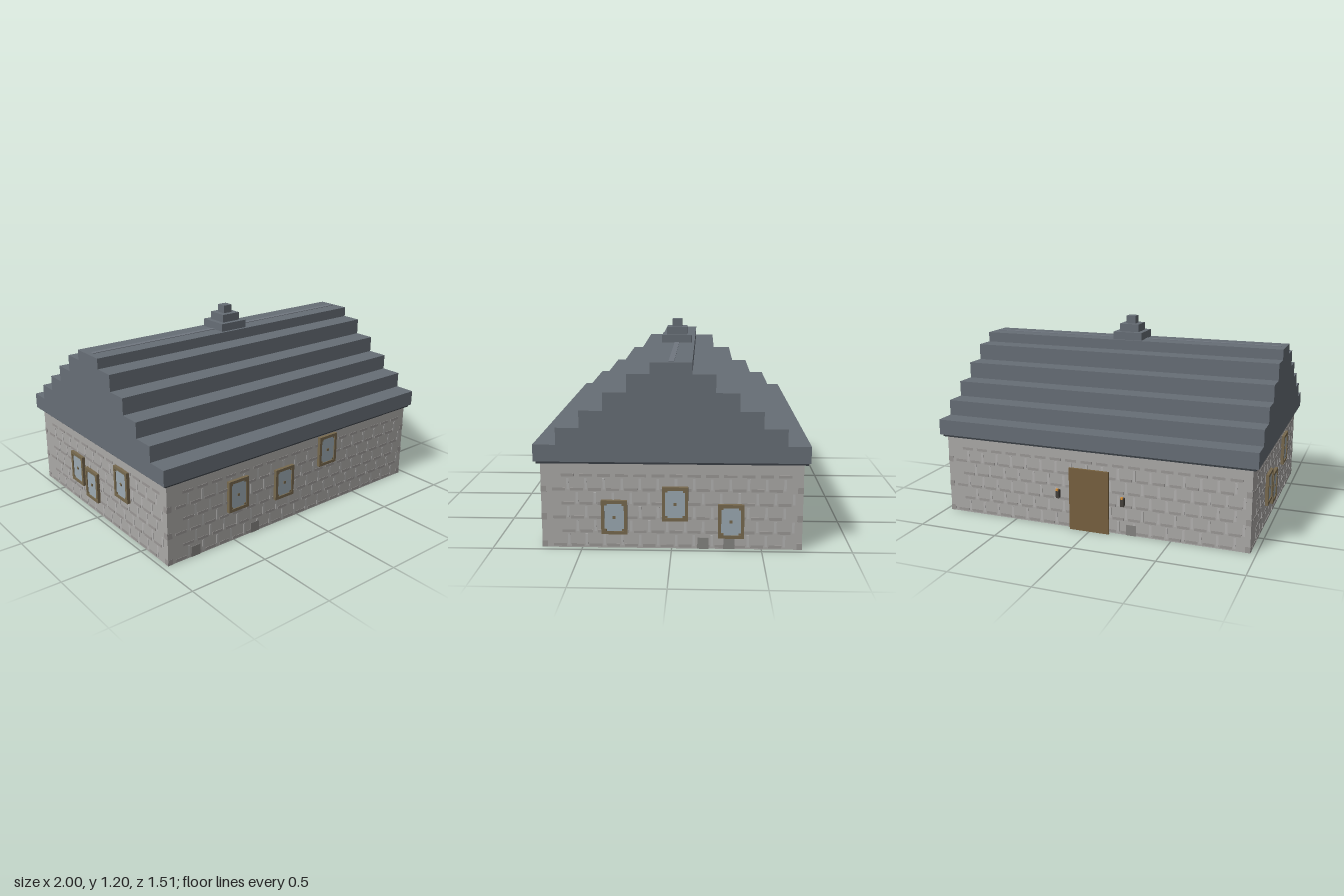
import * as THREE from 'three';
import { mergeGeometries } from 'three/addons/utils/BufferGeometryUtils.js';

const mat = (color) => new THREE.MeshStandardMaterial({ color });
const M = {
  wall: mat(0xaba9a7), course: mat(0x9a9795), joint: mat(0xb3b2b1), moss: mat(0x858481),
  roof: mat(0x676e76), ridge: mat(0x707780), eave: mat(0x3a3f45),
  frame: mat(0x77694e), glass: mat(0x9caab2), door: mat(0x77613f),
  iron: mat(0x45413c), flame: mat(0xe0963a),
};
const W = 0.965, D = 0.725, H = 0.505; // wall half width, half depth, height

// box geometry given by centre and size
const boxGeo = (x, y, z, w, h, d) => new THREE.BoxGeometry(w, h, d).translate(x, y, z);

function add(parent, name, material, ...geos) {
  const mesh = new THREE.Mesh(geos.length > 1 ? mergeGeometries(geos) : geos[0], material);
  mesh.name = name;
  parent.add(mesh);
  return mesh;
}

// window in wall space: u along the wall, v up, z outward
function addWindow(face, u, v) {
  const g = new THREE.Group();
  g.name = 'window';
  g.position.set(u, v, 0);
  const w = 0.145, h = 0.195, b = 0.018, d = 0.02;
  const frame = [], notches = [];
  for (const s of [-1, 1]) {
    frame.push(boxGeo(s * (w - b) / 2, 0, d / 2, b, h, d));
    frame.push(boxGeo(0, s * (h - b) / 2, d / 2, w - 2 * b, b, d));
    for (const t of [-1, 1])
      notches.push(boxGeo(s * (w / 2 - b - 0.006), t * (h / 2 - b - 0.006), 0.008, 0.012, 0.012, 0.016));
  }
  add(g, 'windowFrame', M.frame, ...frame);
  add(g, 'cornerNotches', M.frame, ...notches);
  add(g, 'windowPane', M.glass, boxGeo(0, 0, 0.007, w - 2 * b, h - 2 * b, 0.014));
  add(g, 'paneStud', M.frame, boxGeo(0, 0, 0.009, 0.016, 0.016, 0.018));
  face.add(g);
}

// thin masonry courses, vertical joints, corner stones and damp stones
function addMasonry(face, half, damp) {
  const courses = [], joints = [], quoins = [];
  const pitch = 0.1, n = Math.floor((half - 0.03) * 2 / pitch);
  for (let row = 0; row < 6; row++) {
    const y = 0.015 + row * 0.081;
    const shift = row % 2 ? 0.25 : -0.25;
    for (let i = 0; i < n; i++) {
      const u = (i - (n - 1) / 2 + shift) * pitch;
      courses.push(boxGeo(u, y, 0, 0.072, 0.016, 0.004));
      if (row < 5) joints.push(boxGeo(u + pitch / 2, y + 0.032, 0, 0.014, 0.065, 0.003));
    }
    if (row % 2 === 0)
      for (const s of [-1, 1]) quoins.push(boxGeo(s * (half - 0.015), y - 0.03 + 0.033, 0, 0.03, 0.036, 0.003));
  }
  add(face, 'masonryCourses', M.course, ...courses);
  add(face, 'masonryJoints', M.joint, ...joints);
  add(face, 'cornerStones', M.course, ...quoins);
  for (const u of damp) add(face, 'dampStone', M.moss, boxGeo(u, 0.0325, 0, 0.063, 0.065, 0.006));
}

export function createModel() {
  const model = new THREE.Group();
  model.name = 'house';

  add(model, 'walls', M.wall, boxGeo(0, H / 2, 0, 2 * W, H, 2 * D));

  // four wall faces with their windows
  const faces = [
    { name: 'frontWall', turn: 0, half: W, out: D, damp: [-0.778, -0.343],
      windows: [[-0.48, 0.293], [-0.125, 0.262], [0.233, 0.378]] },
    { name: 'leftWall', turn: Math.PI / 2, half: D, out: W, damp: [0.175, 0.32],
      windows: [[-0.318, 0.183], [0.02, 0.262], [0.33, 0.165]] },
    { name: 'backWall', turn: Math.PI, half: W, out: D, damp: [0.256], windows: [] },
    { name: 'rightWall', turn: -Math.PI / 2, half: D, out: W, damp: [],
      windows: [[-0.257, 0.235], [-0.082, 0.185], [0.275, 0.328]] },
  ];
  for (const f of faces) {
    const face = new THREE.Group();
    face.name = f.name;
    face.rotation.y = f.turn;
    face.position.set(Math.sin(f.turn) * f.out, 0, Math.cos(f.turn) * f.out);
    addMasonry(face, f.half, f.damp);
    for (const [u, v] of f.windows) addWindow(face, u, v);
    model.add(face);

    // door with a wall torch on each side
    if (f.name === 'backWall') {
      add(face, 'doorFrame', M.frame, boxGeo(0, 0.185, 0.01, 0.225, 0.37, 0.02));
      add(face, 'door', M.door, boxGeo(0, 0.193, 0.025, 0.25, 0.386, 0.014));
      for (const s of [-1, 1]) {
        add(face, 'torchBracket', M.iron, boxGeo(s * 0.207, 0.207, 0.012, 0.02, 0.05, 0.024));
        add(face, 'torchFlame', M.flame, boxGeo(s * 0.207, 0.236, 0.024, 0.012, 0.014, 0.012));
      }
    }
  }

  add(model, 'eaveTrim', M.eave, boxGeo(0, 0.498, 0, 1.97, 0.014, 1.49));

  // stepped gable roof: one stair profile extruded along x
  const steps = [[0.757, 0.6], [0.63, 0.695], [0.5, 0.79], [0.37, 0.89], [0.24, 0.99], [0.113, 1.053]];
  const right = [];
  let y = 0.505;
  for (const [half, top] of steps) {
    right.push([half, y], [half, top]);
    y = top;
  }
  const left = right.map(([z, h]) => [-z, h]).reverse();
  const profile = new THREE.Shape([...right, ...left].map(([z, h]) => new THREE.Vector2(z, h)));
  const roof = new THREE.ExtrudeGeometry(profile, { depth: 2, bevelEnabled: false });
  roof.translate(0, 0, -1).rotateY(Math.PI / 2);
  add(model, 'steppedRoof', M.roof, roof);
  add(model, 'ridgeStrip', M.ridge, boxGeo(0, 1.053, 0, 1.94, 0.006, 0.03));

  // stepped finial on the ridge
  [0.095, 0.064, 0.031].forEach((half, i) =>
    add(model, 'finialStep', M.roof, boxGeo(0, 1.077 + i * 0.049, 0, 2 * half, 0.049, 2 * half)));

  return model;
}
